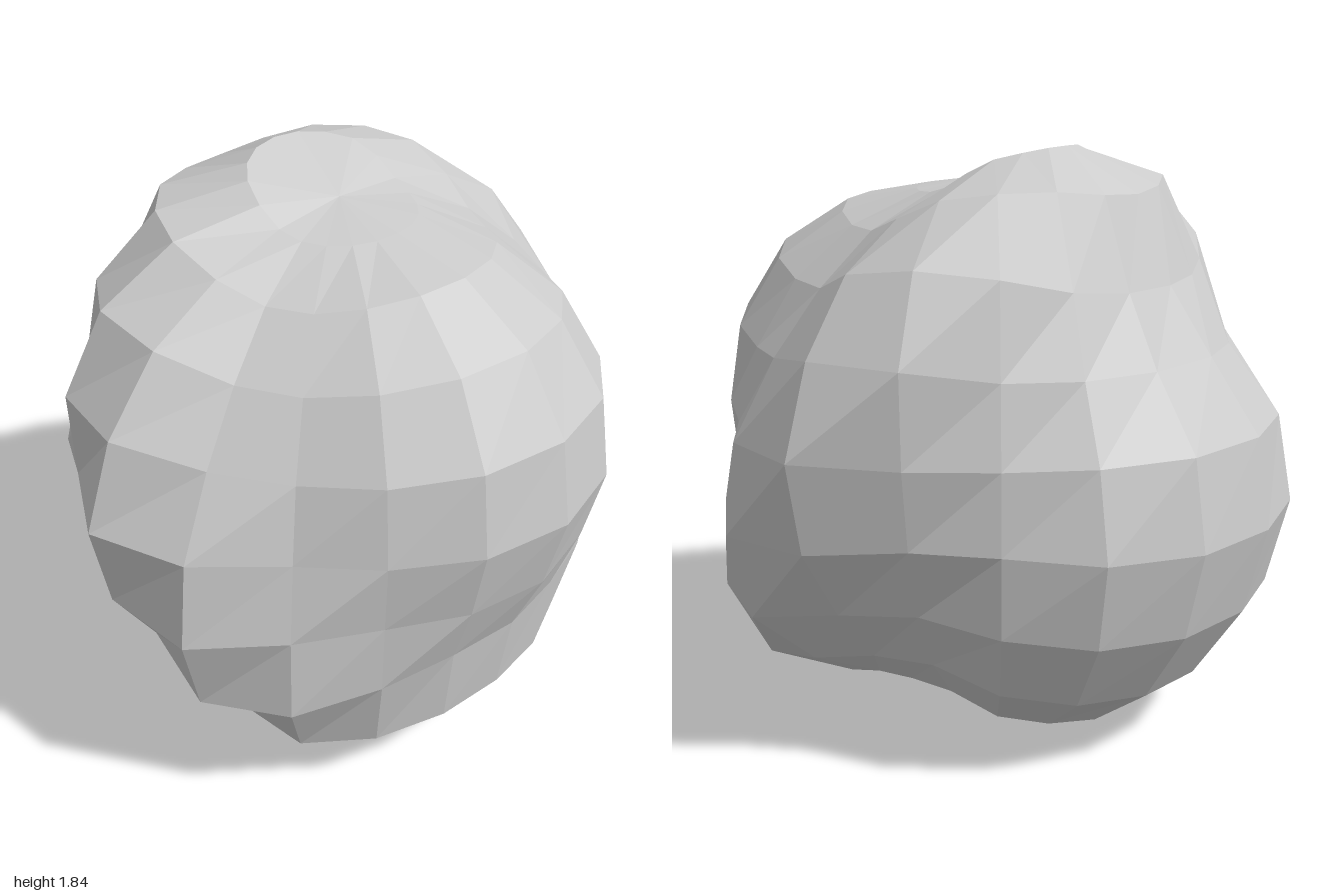
import * as THREE from 'three';

// Radius by angle (degrees) away from the tilted axis: two round lobes,
// two grooves and a raised band between them.
const PROFILE = [
  [0, 0.967], [10, 0.963], [22, 0.93], [37, 0.87], [45, 0.84], [53, 0.835],
  [60, 0.845], [70, 0.95], [76, 0.985], [86, 1.01], [91, 0.985], [103, 0.87],
  [107, 0.85], [118, 0.83], [123, 0.84], [134, 0.92], [141, 0.95],
  [151, 0.985], [160, 1.0], [180, 1.01],
];

function radiusAt(deg) {
  let k = 1;
  while (k < PROFILE.length - 1 && PROFILE[k][0] < deg) k++;
  const [a0, r0] = PROFILE[k - 1];
  const [a1, r1] = PROFILE[k];
  return r0 + ((r1 - r0) * (deg - a0)) / (a1 - a0);
}

// Low-poly sphere whose vertices are pushed in and out around the tilted axis
function lobedSphere(segments, rings) {
  const axis = new THREE.Vector3(Math.cos(Math.PI / 6), Math.sin(Math.PI / 6), 0);
  const centre = new THREE.Vector3(0.03, 0.89, 0);
  const positions = [];
  const index = [];
  for (let i = 0; i <= rings; i++) {
    const polar = (i / rings) * Math.PI;
    for (let j = 0; j < segments; j++) {
      const turn = (j / segments) * Math.PI * 2;
      const p = new THREE.Vector3(
        -Math.cos(turn) * Math.sin(polar), Math.cos(polar), Math.sin(turn) * Math.sin(polar));
      const angle = THREE.MathUtils.radToDeg(p.angleTo(axis));
      p.multiplyScalar(radiusAt(angle)).add(centre);
      positions.push(p.x, p.y, p.z);
    }
  }
  for (let i = 0; i < rings; i++) {
    for (let j = 0; j < segments; j++) {
      const next = (j + 1) % segments;
      const tl = i * segments + j, tr = i * segments + next;
      const bl = tl + segments, br = tr + segments;
      if (i > 0) index.push(tl, bl, tr);
      if (i < rings - 1) index.push(tr, bl, br);
      // pole fans use a single triangle per segment
    }
  }
  const geometry = new THREE.BufferGeometry();
  geometry.setAttribute('position', new THREE.Float32BufferAttribute(positions, 3));
  geometry.setIndex(index);
  geometry.computeVertexNormals();
  return geometry;
}

export function createModel() {
  const group = new THREE.Group();
  group.name = 'lobedRock';
  const material = new THREE.MeshStandardMaterial({ color: 0xcccccc, flatShading: true });
  const body = new THREE.Mesh(lobedSphere(20, 11), material);
  body.name = 'rockBody';
  group.add(body);
  return group;
}
